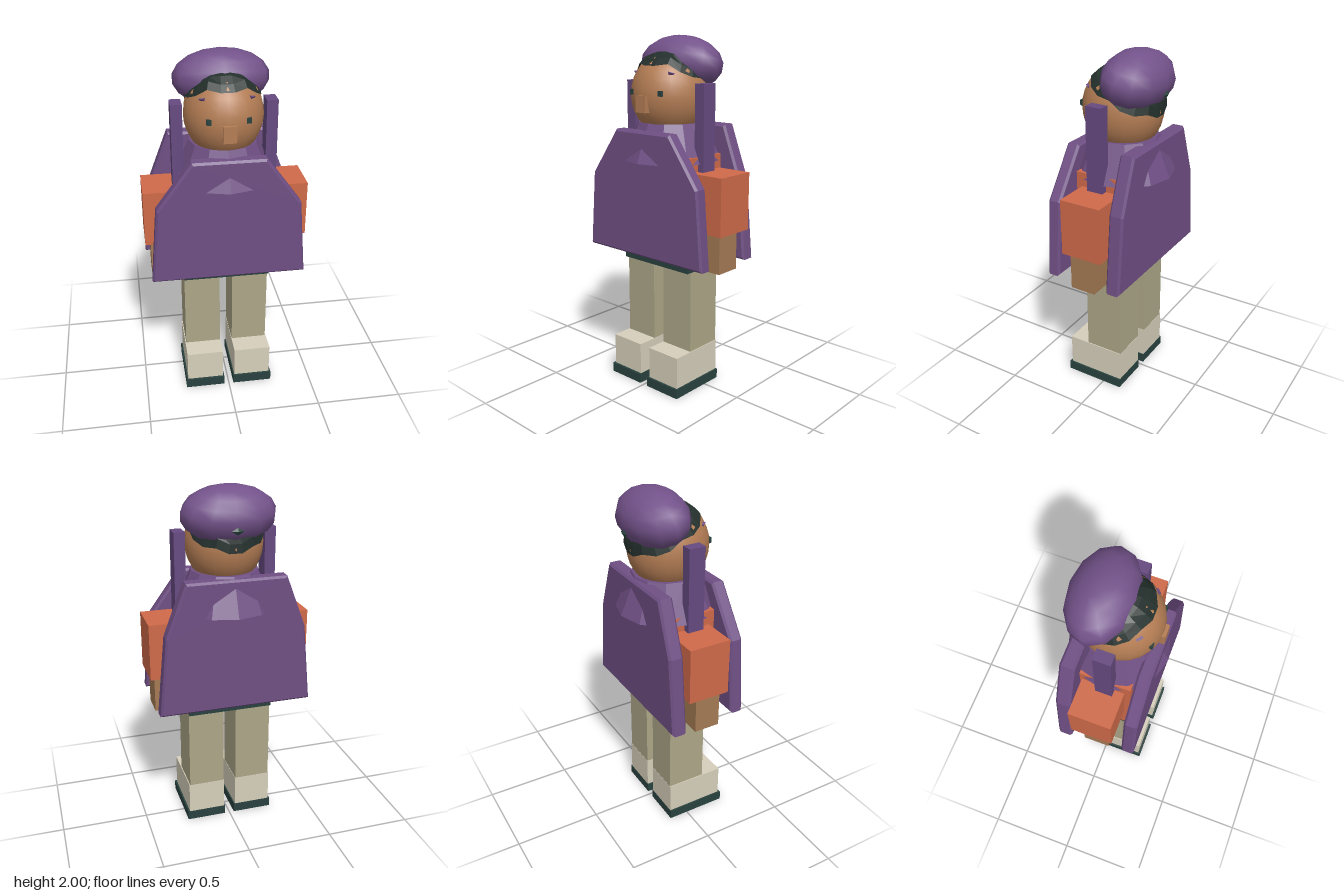
import * as THREE from 'three';

const mat = (color, flatShading = false, side = THREE.FrontSide) =>
  new THREE.MeshStandardMaterial({ color, flatShading, side });

const PURPLE = mat(0x6f4f84, true);
const STRAP = mat(0x664a80, true);
const CAP = mat(0x73528a);
const ORANGE = mat(0xcf6a49, true);
const SKIN = mat(0xb47d54);
const HAND = mat(0xa47a54, true);
const TROUSERS = mat(0xada688, true);
const BOOT = mat(0xd6cfbb, true);
const DARK = mat(0x29423f, true);
const HAIR = mat(0x24302d, true, THREE.DoubleSide);

export function createModel() {
  const model = new THREE.Group();

  const add = (name, geometry, material, x = 0, y = 0, z = 0) => {
    const mesh = new THREE.Mesh(geometry, material);
    mesh.name = name;
    mesh.position.set(x, y, z);
    model.add(mesh);
    return mesh;
  };

  // Box given by its limits on each axis
  const box = (name, material, [x0, x1], [y0, y1], [z0, z1]) =>
    add(name, new THREE.BoxGeometry(x1 - x0, y1 - y0, z1 - z0), material,
      (x0 + x1) / 2, (y0 + y1) / 2, (z0 + z1) / 2);

  // Torso and belt
  box('torso', ORANGE, [-0.25, 0.25], [0.75, 1.36], [-0.15, 0.155]);
  box('belt', DARK, [-0.245, 0.245], [0.715, 0.75], [-0.135, 0.14]);

  // Limbs, straps and facial features on both sides
  for (const s of [1, -1]) {
    const side = s > 0 ? 'left' : 'right';
    const span = (a, b) => (s > 0 ? [a, b] : [-b, -a]);
    box(side + 'Leg', TROUSERS, span(0.037, 0.245), [0.24, 0.715], [-0.113, 0.113]);
    box(side + 'Boot', BOOT, span(0.035, 0.25), [0.055, 0.24], [-0.114, 0.233]);
    box(side + 'Sole', DARK, span(0.028, 0.26), [0, 0.055], [-0.116, 0.246]);
    box(side + 'Sleeve', ORANGE, span(0.24, 0.457), [0.96, 1.28], [-0.12, 0.122]);
    box(side + 'Hand', HAND, span(0.283, 0.426), [0.74, 0.96], [-0.06, 0.09]);
    box(side + 'Strap', STRAP, span(0.225, 0.287), [1.28, 1.75], [-0.03, 0.065]);
    box(side + 'Eye', DARK, span(0.09, 0.116), [1.684, 1.714], [0.17, 0.212]);

    const brow = add(side + 'Brow', new THREE.ConeGeometry(0.024, 0.045, 4),
      PURPLE, s * 0.118, 1.787, 0.142);
    brow.rotation.set(Math.PI, 0, s * 0.3);
  }

  // Poncho panel: bevelled slab with sloping shoulders
  const panel = (name, z0, z1, y0, y1, top, shoulder, shoulderY, hem) => {
    const b = 0.012;
    const shape = new THREE.Shape([
      [-hem + b, y0 + b], [hem - b, y0 + b], [shoulder - b, shoulderY],
      [top - b, y1 - b], [-top + b, y1 - b], [-shoulder + b, shoulderY],
    ].map(([x, y]) => new THREE.Vector2(x, y)));
    const geometry = new THREE.ExtrudeGeometry(shape, {
      depth: z1 - z0 - 2 * b, bevelThickness: b, bevelSize: b, bevelSegments: 1,
    });
    return add(name, geometry, PURPLE, 0, 0, z0 + b);
  };
  panel('ponchoFront', 0.17, 0.246, 0.785, 1.493, 0.205, 0.395, 1.22, 0.431);
  const back = panel('ponchoBack', -0.215, -0.13, 0.77, 1.52, 0.285, 0.395, 1.22, 0.438);
  back.position.x = -0.012;

  // Collar flaring down over the panels
  add('collar', new THREE.CylinderGeometry(0.19, 0.28, 0.21, 12),
    PURPLE, 0, 1.427, 0);

  // Head and nose
  add('head', new THREE.SphereGeometry(1, 24, 16).scale(0.216, 0.24, 0.225),
    SKIN, 0, 1.68, 0.01);
  box('nose', mat(0xb47d54, true), [-0.035, 0.035], [1.595, 1.685], [0.17, 0.25]);

  // Hair: tilted shell over the head with a wavy rim
  const hair = new THREE.SphereGeometry(1, 18, 6, 0, Math.PI * 2, 0, 1.22);
  const p = hair.attributes.position;
  for (let i = 5 * 19; i < p.count; i++) {
    const wave = 0.06 * Math.cos(Math.atan2(p.getZ(i), p.getX(i)) * 6);
    p.setY(i, p.getY(i) + wave);
  }
  hair.rotateX(-0.4).scale(0.221, 0.246, 0.231).computeVertexNormals();
  add('hair', hair, HAIR, 0, 1.68, 0.01);

  // Soft cap, lower at the back, with a tuft of hair showing through
  const cap = add('cap', new THREE.SphereGeometry(1, 12, 9).scale(0.265, 0.153, 0.176),
    CAP, 0, 1.845, -0.08);
  cap.rotation.x = -0.25;
  add('hairTuft', new THREE.OctahedronGeometry(1).scale(0.035, 0.02, 0.012),
    DARK, 0, 1.785, -0.247);

  return model;
}
